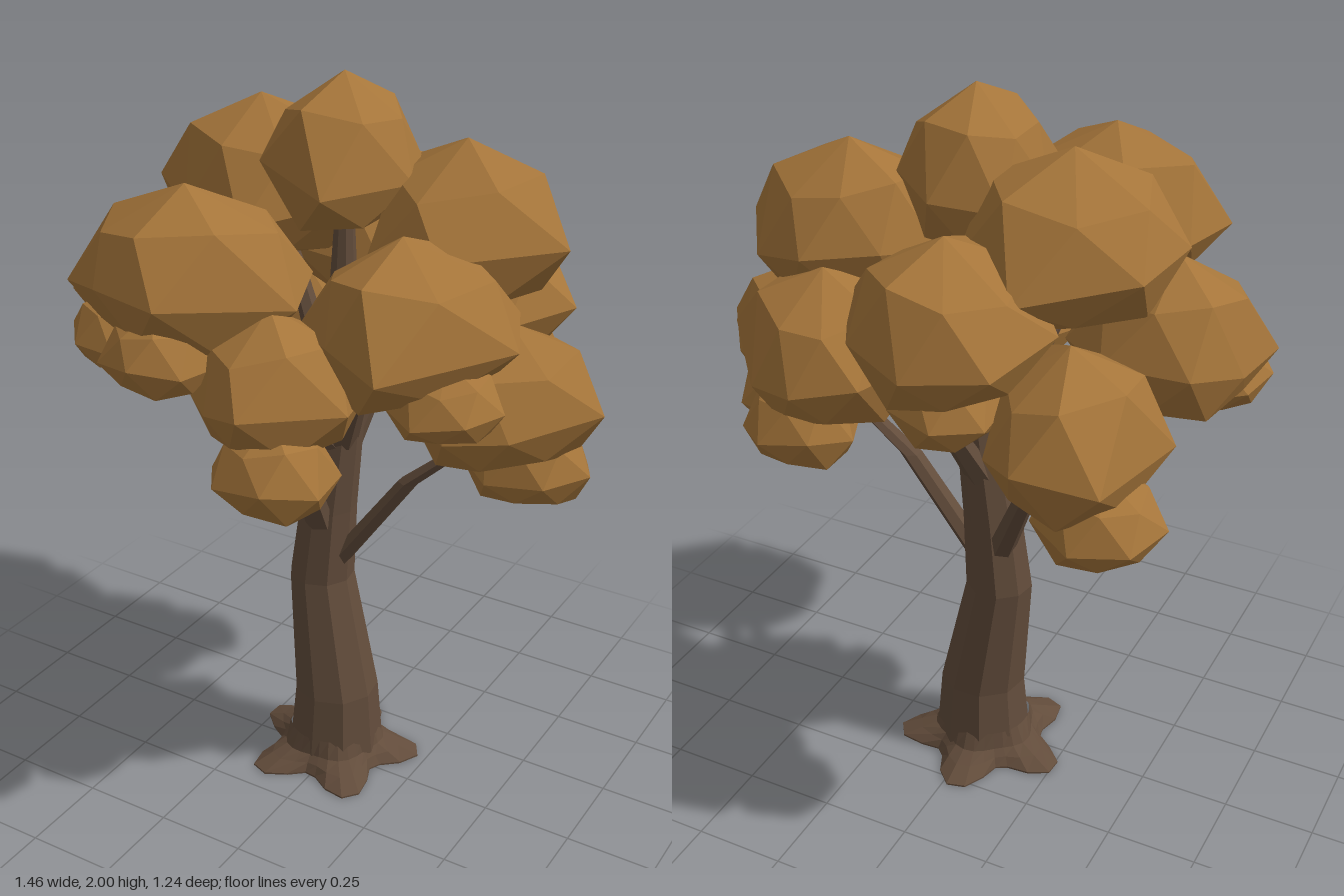
import * as THREE from 'three';

const bark = new THREE.MeshStandardMaterial({ color: 0x624c3b, flatShading: true });
const leaf = new THREE.MeshStandardMaterial({ color: 0xa5753a, flatShading: true });

// Faceted leaf clump: a peaked dome between y0 and y1 whose widest ring follows an [x, z] outline
function clump(y0, y1, outline, seed) {
  const n = outline.length;
  const cx = outline.reduce((s, q) => s + q[0], 0) / n;
  const cz = outline.reduce((s, q) => s + q[1], 0) / n;
  const angle = (q) => Math.atan2(q[1] - cz, q[0] - cx);
  const pts = [...outline].sort((a, b) => angle(b) - angle(a));
  // Each ring: scale, height, and the two neighbouring outline corners it lies between
  const rings = [[0, 1, 0, 0], [0.78, 0.77, -1, 0], [1, 0.4, 0, 0], [0.82, 0.12, 0, 1], [0, 0, 0, 0]];
  const geo = new THREE.CylinderGeometry(1, 1, 1, n, rings.length - 1, true);
  const p = geo.attributes.position;
  for (let i = 0; i < p.count; i++) {
    const row = Math.floor(i / (n + 1));
    const col = (i % (n + 1)) % n;
    const [s, y, from, to] = rings[row];
    const a = pts[(col + from + n) % n];
    const b = pts[(col + to) % n];
    const lift = s * 0.07 * Math.sin(col * 1.9 + row * 2.3 + seed * 1.7);
    p.setXYZ(i, cx + ((a[0] + b[0]) / 2 - cx) * s, y0 + (y + lift) * (y1 - y0), cz + ((a[1] + b[1]) / 2 - cz) * s);
  }
  geo.computeVertexNormals();
  return new THREE.Mesh(geo, leaf);
}

// Seven-cornered oval outline with one corner aimed at an angle
function oval(x0, x1, z0, z1, aim) {
  return Array.from({ length: 7 }, (_, i) => {
    const a = aim + i * Math.PI * 2 / 7;
    return [(x0 + x1 + Math.cos(a) * (x1 - x0)) / 2, (z0 + z1 + Math.sin(a) * (z1 - z0)) / 2];
  });
}

// Tapered limb through [x, y, z, radius] stations, listed from the bottom up
function limb(stations, sides) {
  const n = stations.length;
  const geo = new THREE.CylinderGeometry(1, 1, 1, sides, n - 1, true);
  const p = geo.attributes.position;
  for (let i = 0; i < p.count; i++) {
    const [x, y, z, r] = stations[n - 1 - Math.floor(i / (sides + 1))];
    p.setXYZ(i, x + p.getX(i) * r, y, z + p.getZ(i) * r);
  }
  geo.computeVertexNormals();
  return new THREE.Mesh(geo, bark);
}

// Five-lobed root flare, closed underneath
function rootFlare() {
  const sides = 30;
  const rings = [[0.125, 0.1, 0], [0.14, 0.05, 0.008], [0.17, 0.03, 0.025], [0.205, 0.005, 0.05], [0.205, 0, 0.05], [0, 0, 0]];
  const geo = new THREE.CylinderGeometry(1, 1, 1, sides, rings.length - 1, true);
  const p = geo.attributes.position;
  for (let i = 0; i < p.count; i++) {
    const [r, y, lobe] = rings[Math.floor(i / (sides + 1))];
    const a = Math.atan2(p.getZ(i), p.getX(i));
    const d = r + lobe * Math.cos(5 * (a - 0.87));
    p.setXYZ(i, -0.015 + Math.cos(a) * d, y, -0.03 + Math.sin(a) * d);
  }
  geo.computeVertexNormals();
  return new THREE.Mesh(geo, bark);
}

export function createModel() {
  const tree = new THREE.Group();
  const add = (name, mesh) => { mesh.name = name; tree.add(mesh); };

  add('rootFlare', rootFlare());
  add('trunk', limb([
    [-0.01, 0.03, -0.032, 0.138], [-0.008, 0.23, -0.032, 0.12], [-0.065, 0.58, -0.048, 0.092],
    [-0.045, 0.8, -0.05, 0.08], [-0.01, 1.08, -0.055, 0.066], [0, 1.4, -0.05, 0.04], [0, 1.75, -0.06, 0.02],
  ], 9));

  // Branches reach out into the crown
  const branches = [
    [[-0.02, 0.62, -0.04, 0.035], [0.2, 0.93, -0.06, 0.03], [0.36, 1.07, -0.08, 0.022], [0.52, 1.2, -0.1, 0.012]],
    [[-0.04, 0.76, 0, 0.04], [-0.02, 0.98, 0.12, 0.032], [0.03, 1.17, 0.26, 0.022], [0.08, 1.35, 0.38, 0.012]],
    [[-0.08, 0.7, -0.08, 0.04], [-0.21, 0.98, -0.19, 0.03], [-0.29, 1.09, -0.28, 0.022], [-0.45, 1.25, -0.38, 0.012]],
    [[-0.05, 0.84, -0.02, 0.04], [-0.2, 1.06, 0.02, 0.028], [-0.37, 1.24, 0.05, 0.02], [-0.5, 1.4, 0.06, 0.012]],
    [[0, 1, -0.04, 0.045], [0.1, 1.22, 0.04, 0.032], [0.28, 1.5, 0.14, 0.015]],
    [[-0.03, 0.92, -0.08, 0.045], [0.03, 1.18, -0.22, 0.03], [0.2, 1.4, -0.4, 0.015]],
    [[-0.02, 1.05, -0.06, 0.045], [-0.12, 1.32, -0.09, 0.03], [-0.25, 1.65, -0.12, 0.015]],
    [[-0.02, 1, -0.02, 0.04], [-0.1, 1.25, 0.15, 0.03], [-0.2, 1.55, 0.32, 0.015]],
    [[0.01, 1.1, -0.06, 0.04], [0.12, 1.35, -0.1, 0.03], [0.3, 1.6, -0.13, 0.015]],
  ];
  branches.forEach((b, i) => add(`branch${i + 1}`, limb(b, 6)));

  // Large clumps as [yMin, yMax, outline]
  const upper = [
    [1.6, 2.0, [[-0.19, -0.05], [-0.15, -0.21], [0.02, -0.27], [0.15, -0.18], [0.19, -0.07], [0.06, 0.16], [-0.17, 0.07]]],
    [1.46, 1.9, [[-0.55, -0.03], [-0.52, -0.25], [-0.26, -0.41], [-0.06, -0.28], [0, -0.05], [-0.2, 0.12], [-0.41, 0.06]]],
    [1.44, 1.85, [[0.04, -0.17], [0.12, -0.32], [0.29, -0.41], [0.45, -0.35], [0.57, -0.17], [0.36, 0.12], [0.13, 0.06]]],
    [1.4, 1.8, [[-0.49, 0.45], [-0.45, 0.25], [-0.15, 0.08], [0.04, 0.16], [0.1, 0.33], [-0.12, 0.6], [-0.32, 0.56]]],
    [1.29, 1.7, [[0.36, 0.42], [0.58, 0.12], [0.5, -0.05], [0.25, -0.1], [0.05, 0.08], [0.07, 0.28], [0.2, 0.37]]],
  ];
  const lower = [
    [1.07, 1.45, [[0.73, -0.07], [0.62, -0.22], [0.47, -0.29], [0.26, -0.17], [0.25, 0.08], [0.42, 0.19], [0.57, 0.13]]],
    [1.18, 1.54, [[0.1, 0.6], [0.27, 0.38], [0.22, 0.2], [0.02, 0.12], [-0.14, 0.24], [-0.14, 0.44], [-0.03, 0.54]]],
    [1.22, 1.62, [[-0.73, 0.15], [-0.7, -0.02], [-0.62, -0.18], [-0.4, -0.2], [-0.23, -0.02], [-0.3, 0.18], [-0.54, 0.27]]],
    [1.34, 1.74, [[-0.35, -0.33], [-0.29, -0.56], [-0.09, -0.62], [0.07, -0.57], [0.2, -0.34], [0.08, -0.13], [-0.2, -0.11]]],
    [1.21, 1.6, [[0.05, -0.56], [0.21, -0.61], [0.34, -0.57], [0.52, -0.36], [0.41, -0.17], [0.15, -0.13], [0, -0.3]]],
    [1.11, 1.52, [[-0.61, -0.22], [-0.56, -0.56], [-0.36, -0.61], [-0.24, -0.5], [-0.17, -0.3], [-0.28, -0.13], [-0.5, -0.12]]],
  ];
  // Small clumps tucked underneath as [yMin, yMax, oval]
  const small = [
    [1.0, 1.24, oval(-0.66, -0.32, -0.54, -0.24, 3)],
    [0.95, 1.2, oval(0.34, 0.7, -0.24, 0.04, 0.1)],
    [1.05, 1.3, oval(-0.07, 0.26, 0.27, 0.6, 1.2)],
    [1.32, 1.53, oval(-0.35, -0.05, 0.34, 0.62, 1.5)],
    [1.18, 1.39, oval(-0.72, -0.44, 0, 0.28, 2.9)],
    [1.23, 1.43, oval(0.28, 0.58, 0.05, 0.34, 0.8)],
    [1.11, 1.36, oval(0.12, 0.42, -0.61, -0.33, 0.5)],
    [1.25, 1.48, oval(-0.26, 0.04, -0.58, -0.28, 0.9)],
  ];
  [...upper, ...lower].forEach(([y0, y1, o], i) => add(`leafClump${i + 1}`, clump(y0, y1, o, i + 1)));
  small.forEach(([y0, y1, o], i) => add(`smallLeafClump${i + 1}`, clump(y0, y1, o, i + 20)));
  return tree;
}
